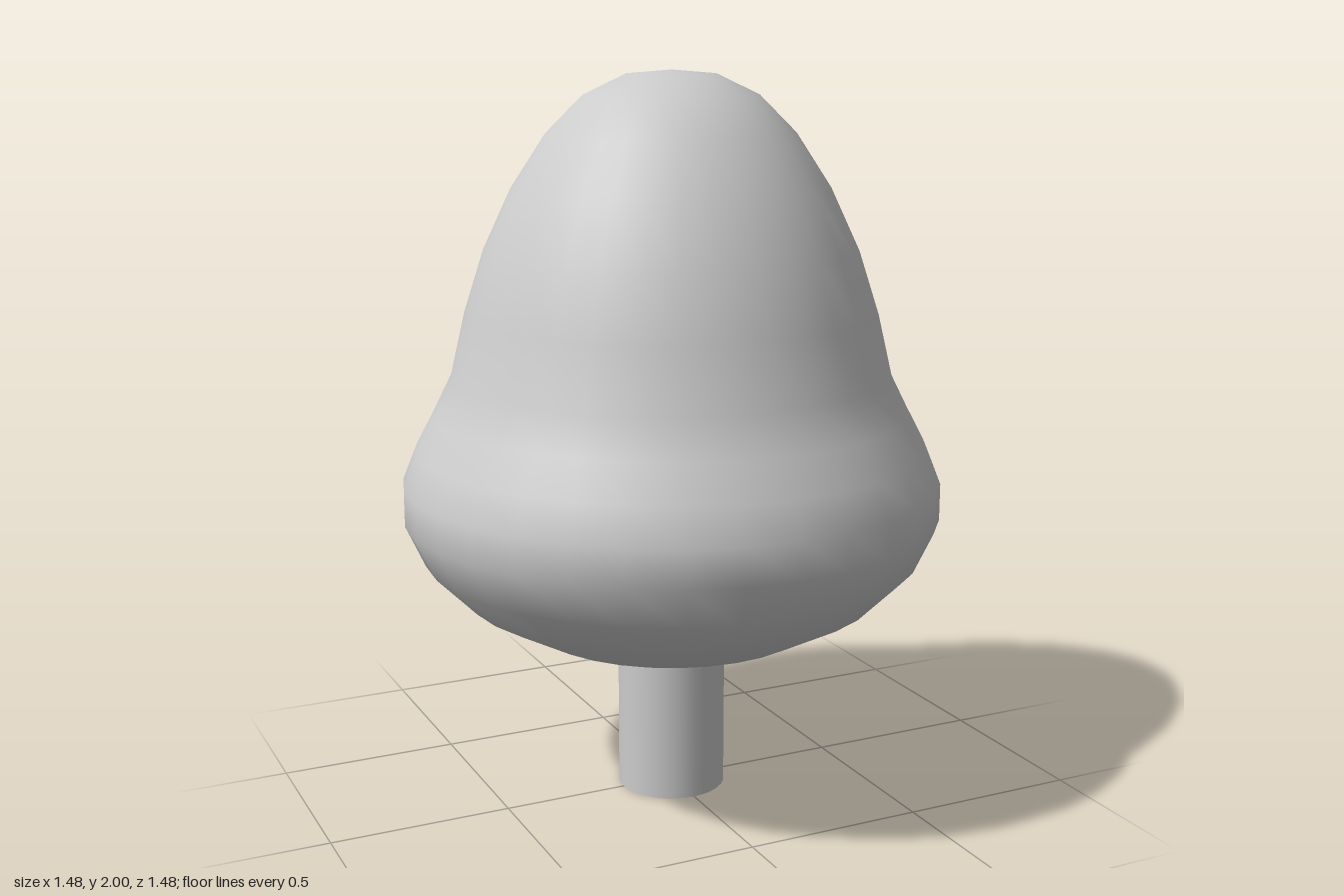
import * as THREE from 'three';

const SIDES = 32;

export function createModel() {
  const group = new THREE.Group();
  const material = new THREE.MeshStandardMaterial({ color: 0xcccccc });

  // Canopy: rounded bell, profile from the underside to the crown
  const profile = [
    [0, 0.44], [0.15, 0.43], [0.2, 0.415], [0.4, 0.48], [0.575, 0.575], [0.685, 0.685],
    [0.738, 0.8], [0.738, 0.9], [0.7, 0.995], [0.65, 1.09], [0.6, 1.19], [0.56, 1.36],
    [0.505, 1.53], [0.43, 1.69], [0.335, 1.835], [0.235, 1.935], [0.12, 1.99], [0, 2],
  ].map(([r, y]) => new THREE.Vector2(r, y));
  const canopy = new THREE.Mesh(new THREE.LatheGeometry(profile, SIDES), material);
  canopy.name = 'canopy';
  group.add(canopy);

  // Trunk: plain cylinder reaching slightly into the canopy
  const height = 0.45;
  const trunk = new THREE.Mesh(new THREE.CylinderGeometry(0.15, 0.15, height, SIDES), material);
  trunk.position.y = height / 2;
  trunk.name = 'trunk';
  group.add(trunk);

  return group;
}
